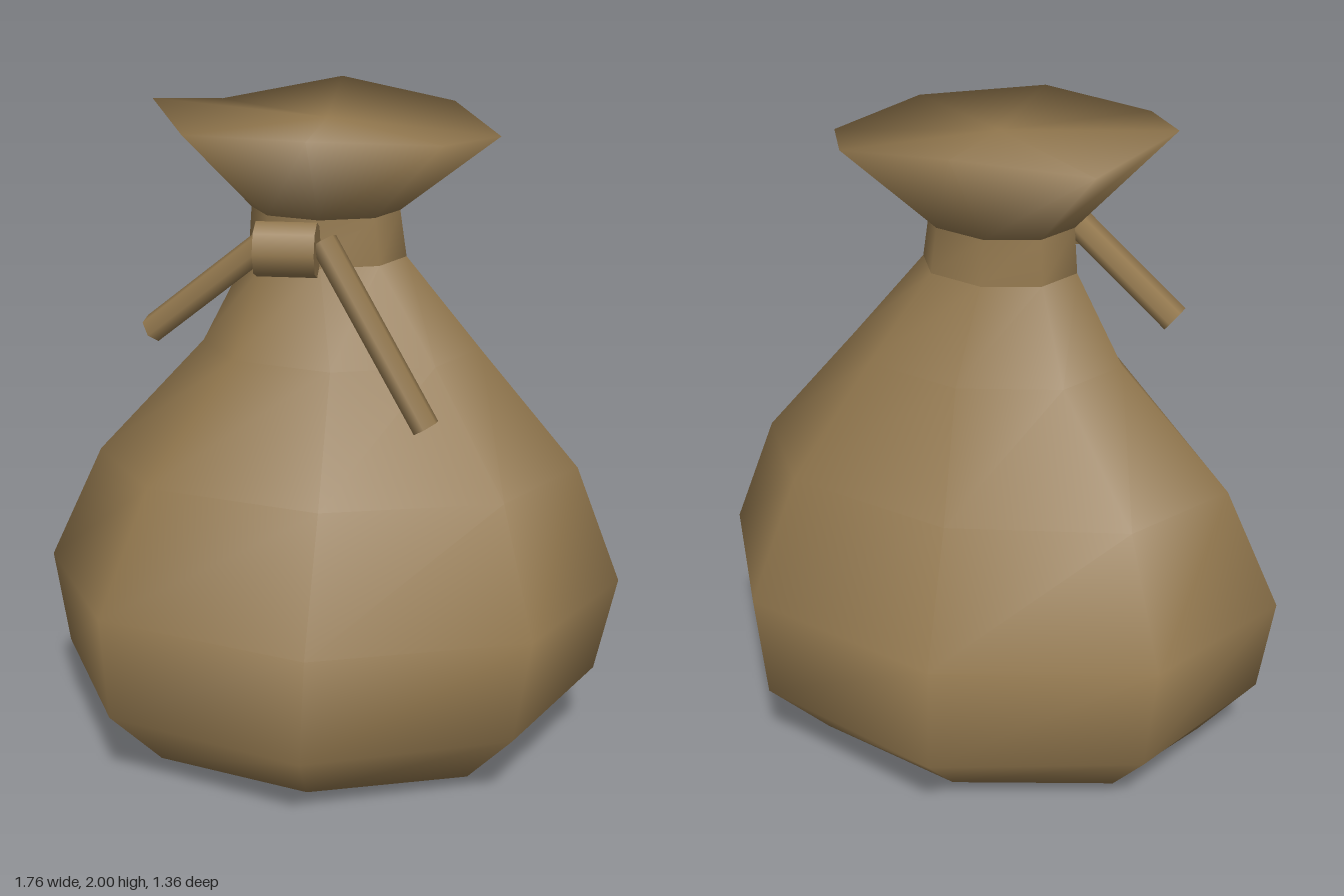
import * as THREE from 'three';

const SIDES = 8;

// One ring of eight points: height (number or list), left/right x limits, front and back z
function ring(y, xMin, xMax, zFront, zBack) {
  return Array.from({ length: SIDES }, (_, j) => {
    const a = (j / SIDES) * Math.PI * 2;
    const c = Math.cos(a), s = Math.sin(a);
    return [
      (xMin + xMax) / 2 + (c * (xMax - xMin)) / 2,
      Array.isArray(y) ? y[j] : y,
      s > 0 ? s * zFront : s * zBack,
    ];
  });
}

// Smooth skin over stacked rings, with an optional centre point closing each end
function loft(rings, bottom, top) {
  const points = rings.flat(), index = [];
  for (let i = 0; i < rings.length - 1; i++) {
    for (let j = 0; j < SIDES; j++) {
      const k = (j + 1) % SIDES, a = i * SIDES, b = a + SIDES;
      index.push(a + j, b + j, a + k, a + k, b + j, b + k);
    }
  }
  const close = (centre, start, up) => {
    const c = points.push(centre) - 1;
    for (let j = 0; j < SIDES; j++) {
      const k = (j + 1) % SIDES;
      index.push(c, start + (up ? k : j), start + (up ? j : k));
    }
  };
  if (bottom) close(bottom, 0, false);
  if (top) close(top, (rings.length - 1) * SIDES, true);
  const g = new THREE.BufferGeometry();
  g.setAttribute('position', new THREE.Float32BufferAttribute(points.flat(), 3));
  g.setIndex(index);
  g.computeVertexNormals();
  return g;
}

export function createModel() {
  const model = new THREE.Group();
  model.name = 'tiedSack';
  const burlap = new THREE.MeshStandardMaterial({ color: 0x94794f });
  burlap.name = 'burlap';

  const add = (name, geometry) => {
    const mesh = new THREE.Mesh(geometry, burlap);
    mesh.name = name;
    model.add(mesh);
    return mesh;
  };

  const neckLow = ring(1.55, -0.24, 0.22, 0.175, 0.175);
  const neckHigh = ring(1.685, -0.23, 0.2, 0.165, 0.165);

  // Bulging body
  add('sackBody', loft([
    ring(0.05, -0.67, 0.64, 0.48, 0.48),
    ring(0.26, -0.84, 0.82, 0.68, 0.68),
    ring(0.56, -0.88, 0.88, 0.64, 0.64),
    ring(0.92, -0.71, 0.74, 0.44, 0.44),
    ring(1.28, -0.38, 0.44, 0.28, 0.28),
    neckLow,
  ], [-0.01, 0, 0]));

  // Cord wrapped round the neck
  add('neckBand', loft([neckLow, neckHigh]));

  // Flared mouth with a wavy rim, gathered shut
  const rimHeights = [1.9, 1.925, 1.95, 1.94, 1.99, 1.945, 2.0, 1.95];
  add('sackMouth', loft(
    [neckHigh, ring(rimHeights, -0.51, 0.48, 0.44, 0.44)],
    null,
    [-0.01, 1.945, 0],
  ));

  // Knot at the front of the cord
  const knot = add('knot', new THREE.CylinderGeometry(0.078, 0.078, 0.17, 8));
  knot.rotation.z = Math.PI / 2;
  knot.position.set(-0.095, 1.618, 0.24);

  // Loose cord ends
  const tail = (name, from, to) => {
    const a = new THREE.Vector3(...from), b = new THREE.Vector3(...to);
    const dir = b.clone().sub(a);
    const geometry = new THREE.CylinderGeometry(0.04, 0.04, dir.length(), 6);
    geometry.scale(1, 1, 1.5);
    const mesh = add(name, geometry);
    mesh.position.copy(a).add(b).multiplyScalar(0.5);
    // Aim from the lower end upward so the wide axis stays front to back
    mesh.quaternion.setFromUnitVectors(new THREE.Vector3(0, 1, 0), dir.negate().normalize());
  };
  tail('rightCordEnd', [-0.15, 1.64, 0.23], [-0.49, 1.365, 0.185]);
  tail('leftCordEnd', [0.005, 1.64, 0.22], [0.305, 1.15, 0.345]);

  return model;
}
